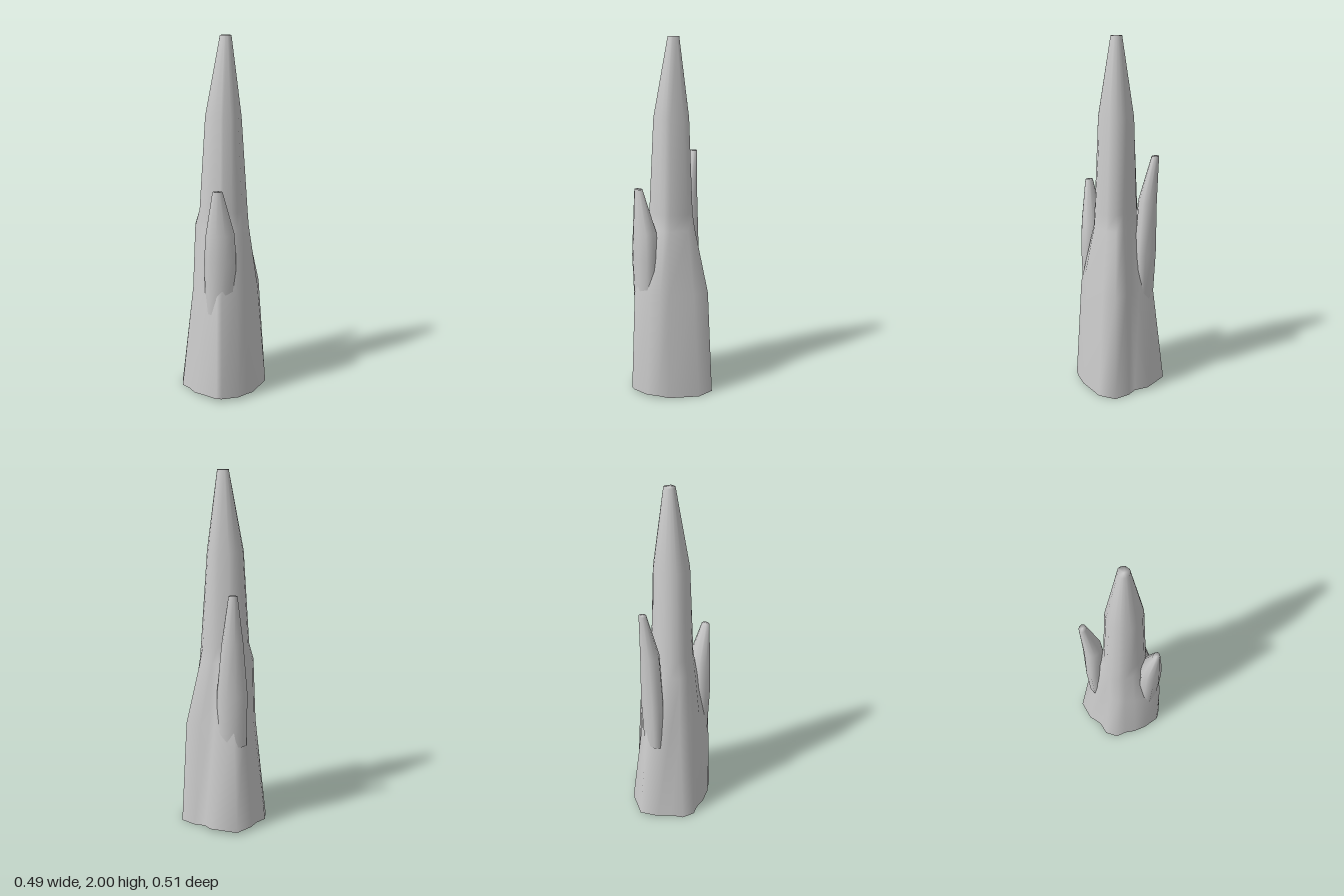
import * as THREE from 'three';

const material = new THREE.MeshStandardMaterial({ color: 0xcccccc, side: THREE.DoubleSide });

// Skin a stack of rings (arrays of [x, y, z], angle running from +x to +z), closing the top only.
function loft(name, rings) {
  const n = rings[0].length;
  const points = rings.flat();
  const index = [];
  for (let k = 0; k < rings.length - 1; k++) {
    for (let i = 0; i < n; i++) {
      const a = k * n + i, b = k * n + (i + 1) % n;
      index.push(a, a + n, b, b, a + n, b + n);
    }
  }
  const last = rings[rings.length - 1];
  const centre = [0, 1, 2].map(c => last.reduce((s, p) => s + p[c], 0) / n);
  const base = (rings.length - 1) * n;
  points.push(centre);
  for (let i = 0; i < n; i++) index.push(base + i, points.length - 1, base + (i + 1) % n);
  const geometry = new THREE.BufferGeometry();
  geometry.setAttribute('position', new THREE.Float32BufferAttribute(points.flat(), 3));
  geometry.setIndex(index);
  geometry.computeVertexNormals();
  const mesh = new THREE.Mesh(geometry, material);
  mesh.name = name;
  return mesh;
}

// Oval ring used by the small spires.
function oval([y, x, z, rx, rz], sides = 10) {
  return Array.from({ length: sides }, (_, i) => {
    const a = (i / sides) * Math.PI * 2;
    return [x + rx * Math.cos(a), y, z + rz * Math.sin(a)];
  });
}

export function createModel() {
  const group = new THREE.Group();
  group.name = 'rockSpire';

  // Lobed footprint of the rock, [x, z]
  const foot = [
    [0.243, -0.005], [0.155, 0.145], [0.12, 0.195], [0.07, 0.235], [-0.025, 0.255], [-0.055, 0.252],
    [-0.13, 0.195], [-0.175, 0.137], [-0.205, 0.078], [-0.245, 0.033], [-0.245, -0.043], [-0.195, -0.1],
    [-0.175, -0.178], [-0.1, -0.257], [0.055, -0.228], [0.095, -0.163], [0.155, -0.155], [0.235, -0.107],
  ];
  // Radii of the higher levels along the same directions
  const levels = [
    [0.6, [0.19, 0.185, 0.195, 0.21, 0.24, 0.235, 0.205, 0.19, 0.18, 0.18, 0.175, 0.165, 0.185, 0.205, 0.165, 0.145, 0.175, 0.225]],
    [0.96, [0.137, 0.135, 0.13, 0.13, 0.135, 0.135, 0.145, 0.15, 0.155, 0.165, 0.165, 0.15, 0.14, 0.13, 0.11, 0.11, 0.12, 0.14]],
    [1.05, [0.13, 0.128, 0.125, 0.125, 0.127, 0.128, 0.13, 0.135, 0.137, 0.14, 0.138, 0.13, 0.12, 0.11, 0.1, 0.102, 0.11, 0.125]],
    [1.57, [0.094, 0.098, 0.102, 0.104, 0.105, 0.105, 0.105, 0.105, 0.105, 0.106, 0.105, 0.1, 0.097, 0.093, 0.09, 0.09, 0.09, 0.092]],
  ];
  const rings = [foot.map(([x, z]) => [x, Math.abs(z) > 0.17 ? 0.015 : 0, z])];
  for (const [y, radii] of levels) {
    rings.push(foot.map(([x, z], i) => {
      const s = radii[i] / Math.hypot(x, z);
      return [x * s, y, z * s];
    }));
  }
  // Blunt tip
  rings.push(foot.map(([x, z]) => {
    const s = 0.031 / Math.hypot(x, z);
    return [0.007 + x * s, 2, z * s];
  }));
  group.add(loft('mainSpire', rings));

  // Small spires growing out of the body: y, x, z, half width, half depth
  group.add(loft('frontSpire', [
    [0.5, -0.03, 0.165, 0.08, 0.06],
    [0.8, -0.03, 0.17, 0.088, 0.066],
    [0.95, -0.03, 0.172, 0.078, 0.06],
    [1.19, -0.045, 0.2, 0.027, 0.02],
  ].map(s => oval(s))));
  group.add(loft('backSpire', [
    [0.5, -0.06, -0.14, 0.08, 0.05],
    [0.8, -0.06, -0.148, 0.085, 0.058],
    [1.1, -0.062, -0.158, 0.058, 0.052],
    [1.36, -0.068, -0.2, 0.024, 0.02],
  ].map(s => oval(s))));

  return group;
}
